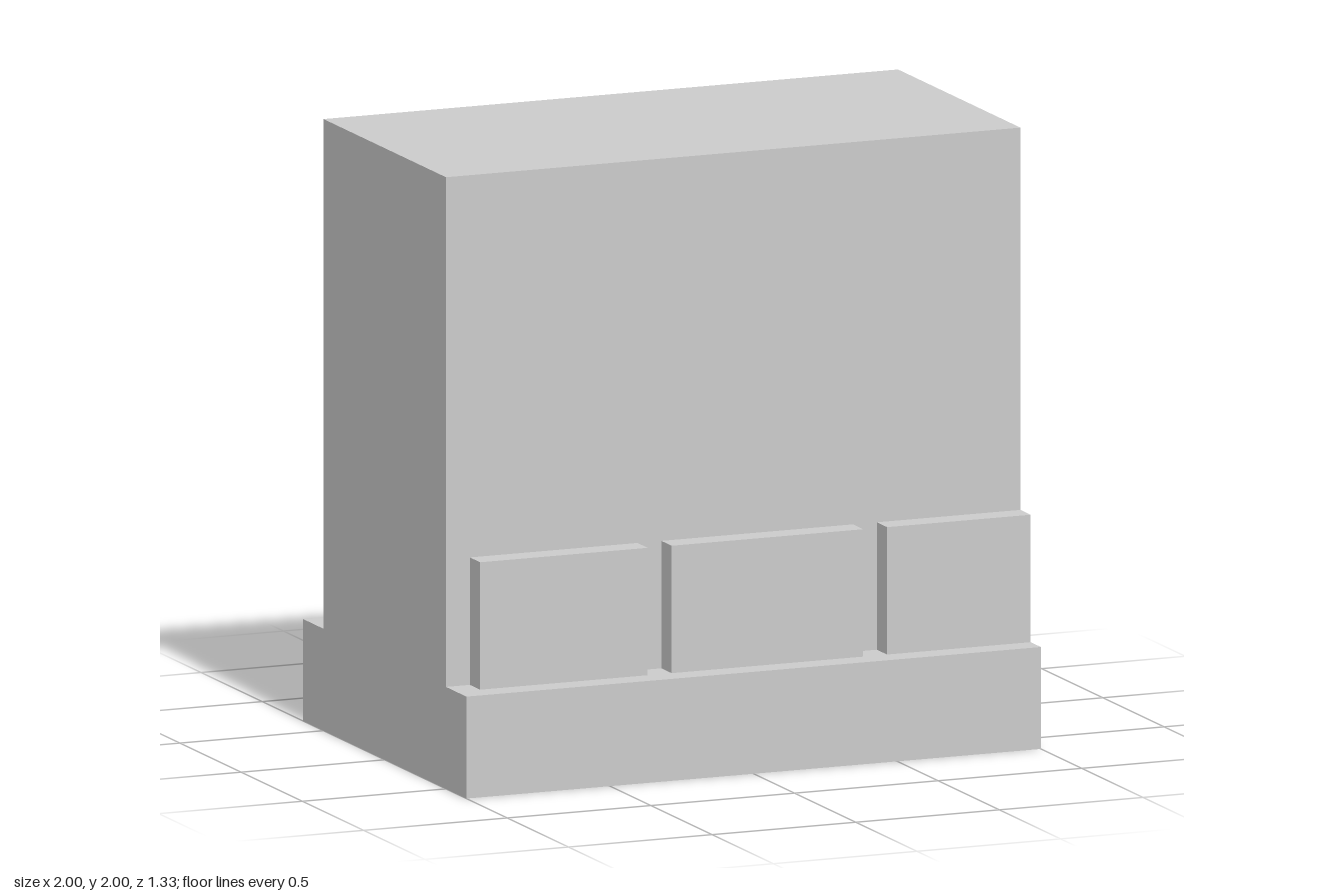
import * as THREE from 'three';

const U = 1 / 12; // modelling grid unit

export function createModel() {
  const group = new THREE.Group();
  const material = new THREE.MeshStandardMaterial({ color: 0xcccccc, flatShading: true });

  // Box from its minimum and maximum corners, in grid units
  function addBox(name, [x0, y0, z0], [x1, y1, z1]) {
    const geometry = new THREE.BoxGeometry((x1 - x0) * U, (y1 - y0) * U, (z1 - z0) * U);
    const mesh = new THREE.Mesh(geometry, material);
    mesh.position.set((x0 + x1) / 2 * U, (y0 + y1) / 2 * U, (z0 + z1) / 2 * U);
    mesh.name = name;
    group.add(mesh);
  }

  // Plinth and the wall standing on it
  addBox('plinth', [-12, 0, -8], [12, 4, 8]);
  addBox('wall', [-12, 4, -6], [12, 24, 6]);

  // Stone blocks along both faces; the last one runs flush to the +x end
  const blocks = [[-11, -4], [-3, 5], [6, 12]];
  blocks.forEach(([x0, x1], i) => {
    addBox(`frontBlock${i + 1}`, [x0, 4, 6], [x1, 9, 7]);
    addBox(`backBlock${i + 1}`, [x0, 4, -7], [x1, 9, -6]);
  });

  return group;
}
